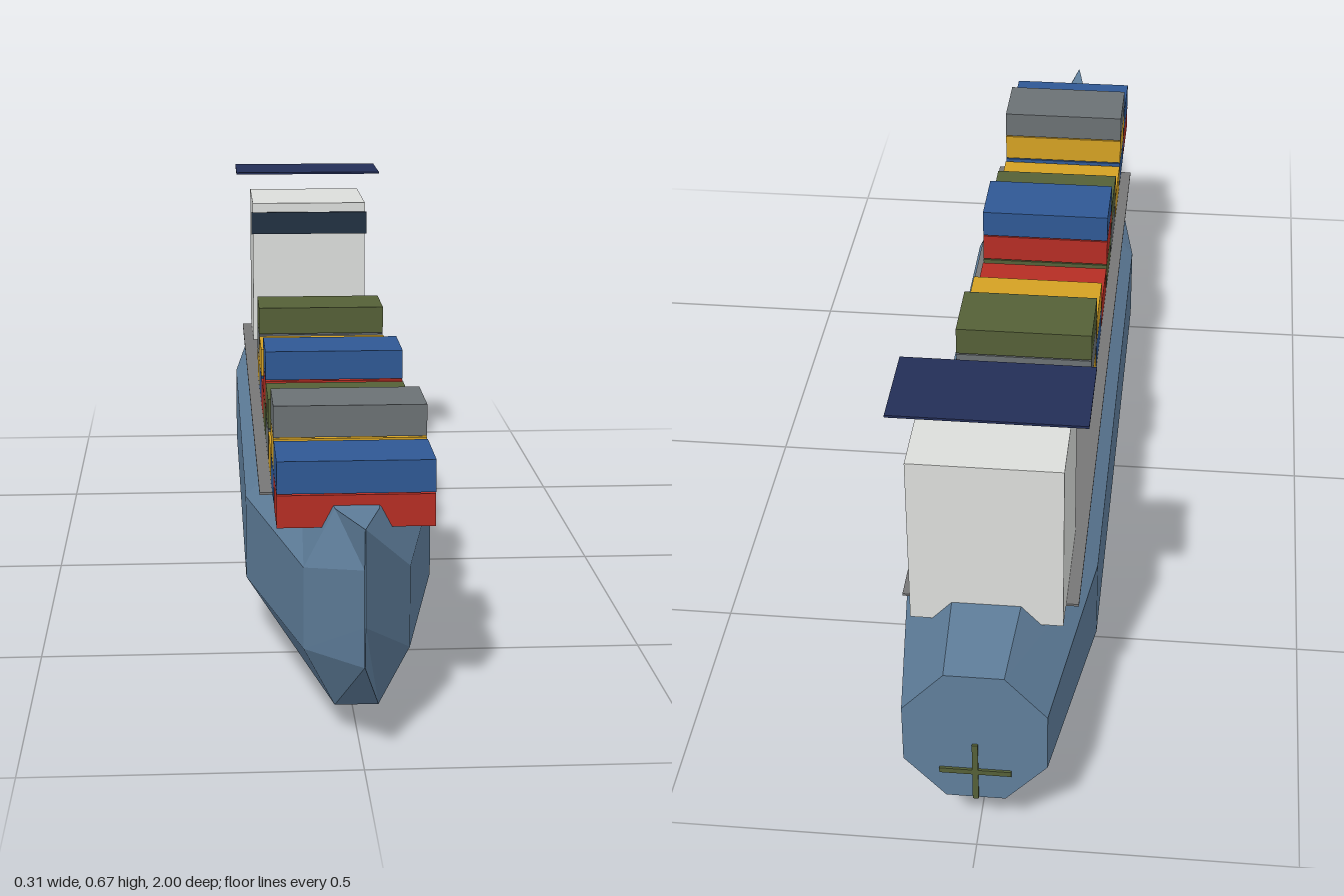
import * as THREE from 'three';

const mat = (name, color, extra = {}) => {
  const m = new THREE.MeshStandardMaterial({ color, ...extra });
  m.name = name;
  return m;
};

// Octagonal hull lofted through stations: [z, halfWidth, bottomY, topY]
function hullGeometry(stations) {
  const N = 8, pos = [], idx = [], k = Math.cos(Math.PI / N);
  for (const [z, hw, y0, y1] of stations) {
    for (let j = 0; j < N; j++) {
      const a = ((j + 0.5) / N) * Math.PI * 2;
      pos.push((hw / k) * Math.cos(a), (y0 + y1) / 2 + ((y1 - y0) / 2 / k) * Math.sin(a), z);
    }
  }
  const last = (stations.length - 1) * N;
  for (let i = 0; i < last; i += N) {
    for (let j = 0; j < N; j++) {
      const a = i + j, b = i + ((j + 1) % N);
      idx.push(a, a + N, b, b, a + N, b + N);
    }
  }
  for (let j = 1; j < N - 1; j++) {
    idx.push(0, j, j + 1); // bow cap
    idx.push(last, last + j + 1, last + j); // stern cap
  }
  const g = new THREE.BufferGeometry();
  g.setAttribute('position', new THREE.Float32BufferAttribute(pos, 3));
  g.setIndex(idx);
  const flat = g.toNonIndexed();
  flat.computeVertexNormals();
  return flat;
}

export function createModel() {
  const ship = new THREE.Group();
  ship.name = 'containerShip';

  const hullBlue = mat('hull blue', 0x5f7e9b, { flatShading: true });
  const deckGrey = mat('deck grey', 0x777777);
  const white = mat('tower white', 0xdcdedb);
  const navy = mat('roof navy', 0x232e57);
  const glass = mat('window dark', 0x223142);
  const red = mat('container red', 0xb52d24);
  const blue = mat('container blue', 0x2f5894);
  const yellow = mat('container yellow', 0xd4a123);
  const olive = mat('container olive', 0x556037);
  const grey = mat('container grey', 0x6b7174);

  // Box given by its size and centre
  const box = (name, material, [w, h, d], [x, y, z], parent = ship) => {
    const m = new THREE.Mesh(new THREE.BoxGeometry(w, h, d), material);
    m.name = name;
    m.position.set(x, y, z);
    parent.add(m);
    return m;
  };

  // Hull
  const hull = new THREE.Mesh(hullGeometry([
    [1, 0.001, 0.155, 0.361],
    [0.84, 0.08, 0.038, 0.346],
    [0.4, 0.157, 0, 0.344],
    [-0.6, 0.157, 0, 0.344],
    [-0.996, 0.11, 0.1, 0.344],
  ]), hullBlue);
  hull.name = 'hull';
  ship.add(hull);

  // Side walkway deck
  box('deck', deckGrey, [0.278, 0.004, 1.4], [0, 0.309, -0.08]);

  // Container stacks from bow to stern, each listed bottom up
  const stacks = [
    [red, blue],
    [blue, yellow, grey],
    [yellow],
    [grey, olive],
    [olive, red, blue],
    [red],
    [blue, yellow],
    [yellow, grey, olive],
  ];
  const cargo = new THREE.Group();
  cargo.name = 'cargo';
  ship.add(cargo);
  stacks.forEach((stack, i) => stack.forEach((m, level) =>
    box('container', m, [0.238, 0.05, 0.124],
      [0, 0.337 + level * 0.0523, 0.761 - i * 0.1362], cargo)));

  // Bridge tower with window band and floating roof
  box('bridgeTower', white, [0.238, 0.295, 0.235], [0, 0.4575, -0.714]);
  box('bridgeWindow', glass, [0.244, 0.046, 0.007], [0, 0.563, -0.595]);
  box('bridgeRoof', navy, [0.304, 0.004, 0.156], [0, 0.663, -0.718]);

  // Propeller: two crossed blades on the stern
  const propeller = new THREE.Group();
  propeller.name = 'propeller';
  propeller.position.set(0, 0.155, -0.997);
  ship.add(propeller);
  box('blade', olive, [0.11, 0.009, 0.006], [0, 0, 0], propeller);
  box('blade', olive, [0.009, 0.11, 0.006], [0, 0, 0], propeller);

  return ship;
}
